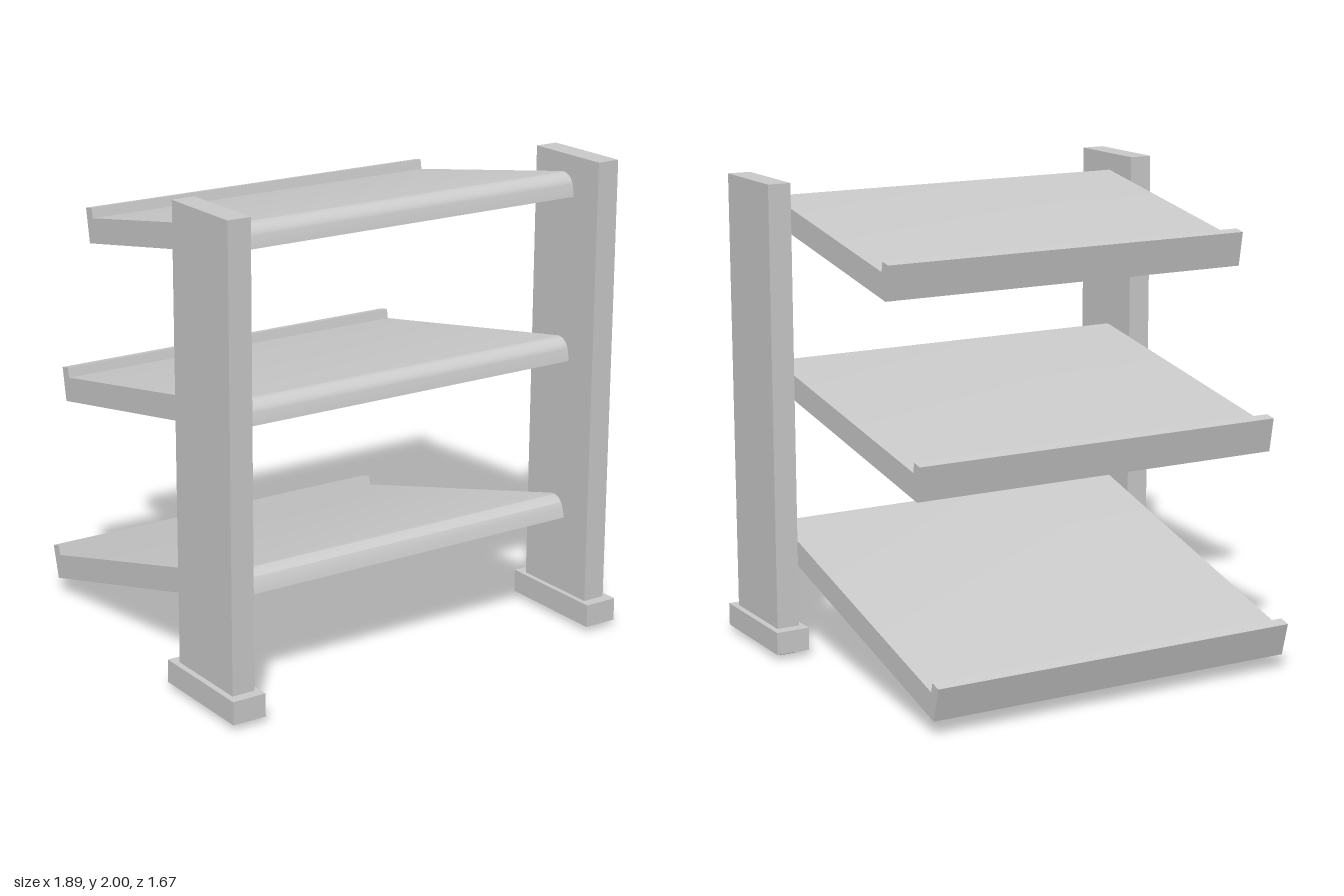
import * as THREE from 'three';
import { toCreasedNormals } from 'three/addons/utils/BufferGeometryUtils.js';

const grey = new THREE.MeshStandardMaterial({ color: 0xcccccc });
const faceted = new THREE.MeshStandardMaterial({ color: 0xcccccc, flatShading: true });

function part(name, geometry, x, y, z, material = grey) {
  const mesh = new THREE.Mesh(geometry, material);
  mesh.name = name;
  mesh.position.set(x, y, z);
  return mesh;
}

// Sloped shelf: rounded front nose, raised lip at the back.
// The origin is its lower front corner.
function shelfGeometry(length, slope, noseSegments) {
  const thick = 0.104, nose = 0.062, lipHeight = 0.146, lipWidth = 0.048;
  const shape = new THREE.Shape();
  shape.moveTo(0, 0);
  shape.lineTo(length, 0);
  shape.lineTo(length, lipHeight);
  shape.lineTo(length - lipWidth, lipHeight);
  shape.lineTo(length - lipWidth, thick);
  for (let i = 0; i <= noseSegments; i++) {
    const a = Math.PI / 2 * (1 + i / noseSegments);
    shape.lineTo(nose + nose * Math.cos(a), thick - nose + nose * Math.sin(a));
  }
  const geo = new THREE.ExtrudeGeometry(shape, { depth: 1.64, bevelEnabled: false });
  geo.translate(0, 0, -0.82);
  geo.rotateZ(-THREE.MathUtils.degToRad(slope));
  geo.rotateY(Math.PI / 2);
  return toCreasedNormals(geo, 0.35);
}

function rectangle(path, w, h) {
  path.moveTo(-w / 2, -h / 2);
  path.lineTo(w / 2, -h / 2);
  path.lineTo(w / 2, h / 2);
  path.lineTo(-w / 2, h / 2);
  path.closePath();
  return path;
}

function createSide(side) {
  const group = new THREE.Group();
  group.name = side > 0 ? 'leftSide' : 'rightSide';
  group.add(part('post', new THREE.BoxGeometry(0.1, 1.88, 0.395), side * 0.87, 1.06, 0.592));

  // Foot: an open-bottomed box holding two rollers
  const w = 0.147, d = 0.49, x = side * 0.872, z = 0.59;
  const rim = rectangle(new THREE.Shape(), w, d);
  rim.holes.push(rectangle(new THREE.Path(), w - 0.05, d - 0.03));
  const rimGeo = new THREE.ExtrudeGeometry(rim, { depth: 0.077, bevelEnabled: false });
  rimGeo.rotateX(Math.PI / 2);
  group.add(part('footRim', rimGeo, x, 0.102, z));
  group.add(part('footTop', new THREE.BoxGeometry(w, 0.02, d), x, 0.112, z));

  // Six-sided rollers, corner down
  for (const end of [-1, 1]) {
    const roller = new THREE.CylinderGeometry(0.05, 0.05, 0.075, 6);
    roller.rotateZ(Math.PI / 2);
    roller.rotateX(Math.PI / 2);
    group.add(part('roller', roller, x, 0.05, z + end * 0.18, faceted));
  }
  return group;
}

export function createModel() {
  const model = new THREE.Group();
  model.name = 'slopedShelfRack';
  for (const side of [-1, 1]) model.add(createSide(side));

  const shelves = [
    ['bottomShelf', 0.45, 1.491, 15, 4],
    ['middleShelf', 1.138, 1.34, 10, 12],
    ['topShelf', 1.832, 1.092, 10, 12],
  ];
  for (const [name, y, length, slope, segments] of shelves) {
    model.add(part(name, shelfGeometry(length, slope, segments), 0, y, 0.64));
  }
  return model;
}
